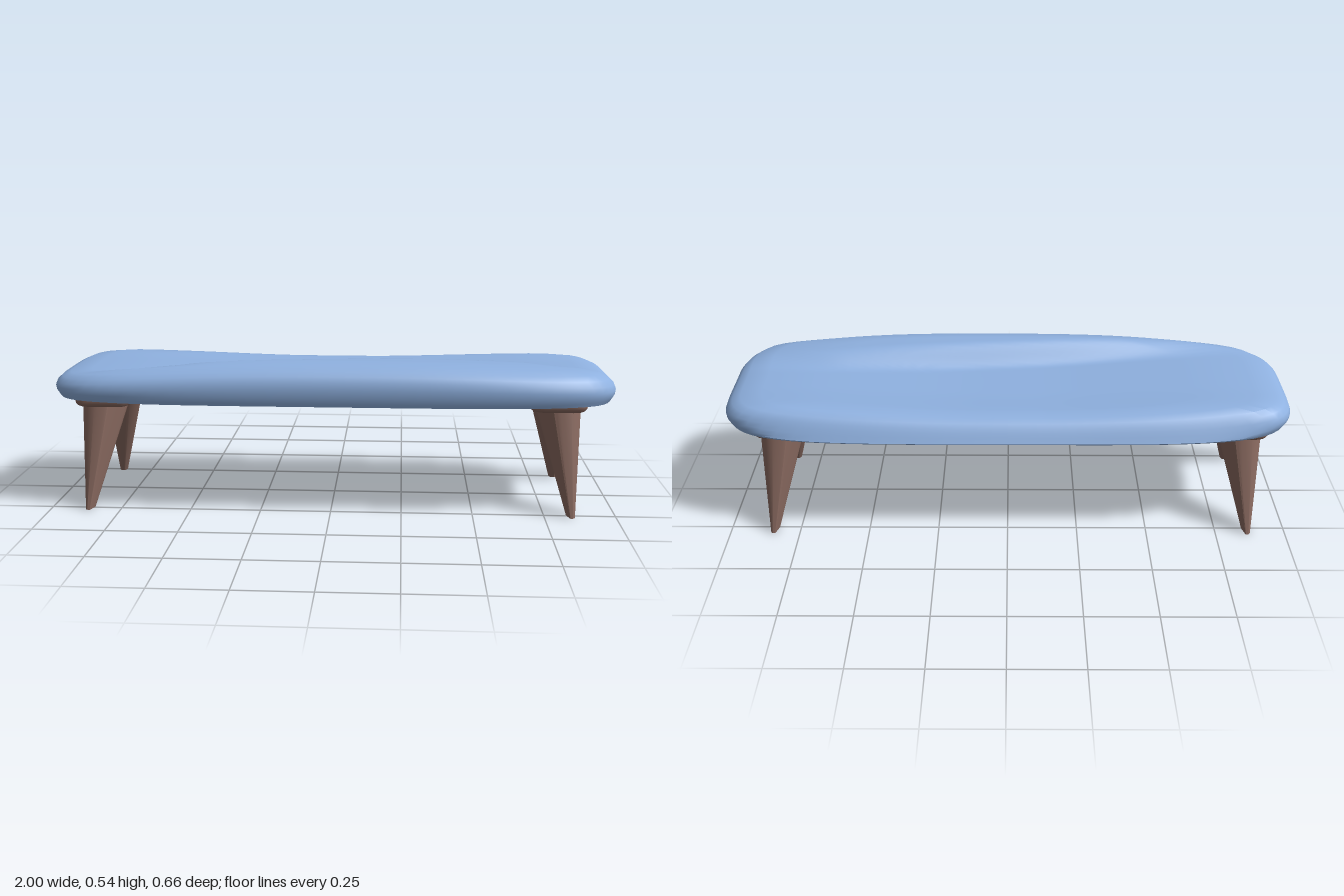
import * as THREE from 'three';
import { toCreasedNormals } from 'three/addons/utils/BufferGeometryUtils.js';

const { lerp, clamp, smoothstep } = THREE.MathUtils;

// Point on a unit superellipse at step j of count; even spread round corners
function outline(j, count, n) {
  const a = (j / count) * Math.PI * 2;
  const c = Math.cos(a), s = Math.sin(a);
  const k = Math.pow(Math.abs(c) ** n + Math.abs(s) ** n, 1 / n);
  return [c / k, s / k];
}

// Closed skin through rings of equal length, ordered from bottom to top
function loft(rings, crease) {
  const n = rings[0].length, pos = [], idx = [];
  rings.forEach(r => r.forEach(p => pos.push(...p)));
  for (let i = 0; i < rings.length - 1; i++) {
    for (let j = 0; j < n; j++) {
      const a = i * n + j, b = i * n + (j + 1) % n;
      idx.push(a, a + n, b, b, a + n, b + n);
    }
  }
  const cap = (ring, start, up) => {
    const mid = [0, 1, 2].map(k => ring.reduce((t, p) => t + p[k], 0) / n);
    const c = pos.length / 3;
    pos.push(...mid);
    for (let j = 0; j < n; j++) {
      const a = start + j, b = start + (j + 1) % n;
      idx.push(c, up ? b : a, up ? a : b);
    }
  };
  cap(rings[0], 0, false);
  cap(rings[rings.length - 1], (rings.length - 1) * n, true);
  const g = new THREE.BufferGeometry();
  g.setAttribute('position', new THREE.Float32BufferAttribute(pos, 3));
  g.setIndex(idx);
  return toCreasedNormals(g, crease);
}

// Cushion thickness: a shallow saddle with a slanting ridge along the front
function thickness(x, z) {
  const shift = clamp(0.09 * (0.3 - x), -0.03, 0.1);
  const ridge = smoothstep(z, 0.075 + shift, 0.165 + shift);
  const fade = Math.max(0, 1 - Math.abs(x - 0.06) ** 2.5);
  const dip = 1 - smoothstep(Math.abs(x), 0.1, 0.8);
  const back = smoothstep(-z, 0.08, 0.25);
  const low = 0.092 - 0.02 * dip + 0.007 * back;
  return lerp(low, 0.09 + 0.055 * fade, ridge);
}

// Rim profiles as [scale of outline, fraction of thickness]
const FRONT = [[0.968, 0], [0.98, 0.08], [0.995, 0.22], [1, 0.42], [0.985, 0.6], [0.955, 0.72], [0.91, 0.82], [0.82, 0.94], [0.7, 1]];
const BACK = [[0.985, 0], [0.995, 0.05], [0.985, 0.12], [0.965, 0.28], [0.94, 0.46], [0.915, 0.62], [0.88, 0.79], [0.82, 0.93], [0.7, 1]];
const END = [[0.982, 0], [0.99, 0.12], [0.998, 0.26], [1, 0.42], [0.993, 0.6], [0.975, 0.78], [0.945, 0.92], [0.87, 1], [0.7, 1]];

function cushionGeometry() {
  const count = 112, inner = 18, rings = [];
  for (let i = 0; i < FRONT.length + inner; i++) {
    const ring = [];
    for (let j = 0; j < count; j++) {
      const [ox, oz] = outline(j, count, 4.6);
      let r, f = 1;
      if (i < FRONT.length) {
        // Full corners, easing into the front and back edge profiles
        const side = oz > 0 ? FRONT : BACK;
        const w = smoothstep(Math.abs(oz), 0.74, 1);
        r = lerp(END[i][0], side[i][0], w);
        f = lerp(END[i][1], side[i][1], w);
      } else {
        r = 0.7 * (1 - (i - FRONT.length + 1) / (inner + 0.5));
      }
      const x = ox * r, z = oz * r * 0.329;
      ring.push([x, 0.395 + f * thickness(x, z), z]);
    }
    rings.push(ring);
  }
  return loft(rings, 0.62);
}

// Plate with rounded corners, narrowing underneath
function plateGeometry() {
  const levels = [[0.364, 0.016], [0.368, 0.008], [0.376, 0.002], [0.386, 0], [0.397, 0]];
  return loft(levels.map(([y, inset]) => Array.from({ length: 64 }, (_, j) => {
    const [ox, oz] = outline(j, 64, 7);
    return [ox * (0.106 - inset), y, oz * (0.244 - inset)];
  })), 0.7);
}

// Splayed leg tapering to a small foot; sx and sz pick the corner
function legGeometry(sx, sz) {
  const levels = [
    { y: 0, x: 0.853, z: 0.257, w: 0.015, d: 0.029, n: 2.4 },
    { y: 0.38, x: 0.805, z: 0.14, w: 0.08, d: 0.082, n: 3.2 },
  ];
  const rings = levels.map(l => Array.from({ length: 40 }, (_, j) => {
    const [ox, oz] = outline(j, 40, l.n);
    // Slanting flat on the side facing the middle of the bench
    const u = sx * ox, v = sz * oz;
    const cut = Math.max(0, -0.89 * u + 0.45 * v - 0.7);
    return [sx * (l.x + (u + 0.89 * cut) * l.w), l.y, sz * (l.z + (v - 0.45 * cut) * l.d)];
  }));
  return loft(rings, 0.8);
}

export function createModel() {
  const fabric = new THREE.MeshStandardMaterial({ color: 0x8fb1e0 });
  fabric.name = 'blue fabric';
  const wood = new THREE.MeshStandardMaterial({ color: 0x8b6b61 });
  wood.name = 'brown wood';

  const model = new THREE.Group();
  model.name = 'bench';
  const add = (geometry, material, name, parent) => {
    const mesh = new THREE.Mesh(geometry, material);
    mesh.name = name;
    parent.add(mesh);
    return mesh;
  };

  add(cushionGeometry(), fabric, 'cushion', model);

  // Mounting plate and pair of legs at each end
  const base = new THREE.Group();
  base.name = 'base';
  base.position.set(-0.01, 0, -0.004);
  model.add(base);
  for (const sx of [1, -1]) {
    const end = sx > 0 ? 'left' : 'right';
    add(plateGeometry(), wood, end + 'MountingPlate', base).position.x = sx * 0.803;
    for (const sz of [1, -1]) {
      add(legGeometry(sx, sz), wood, end + (sz > 0 ? 'FrontLeg' : 'BackLeg'), base);
    }
  }
  return model;
}
